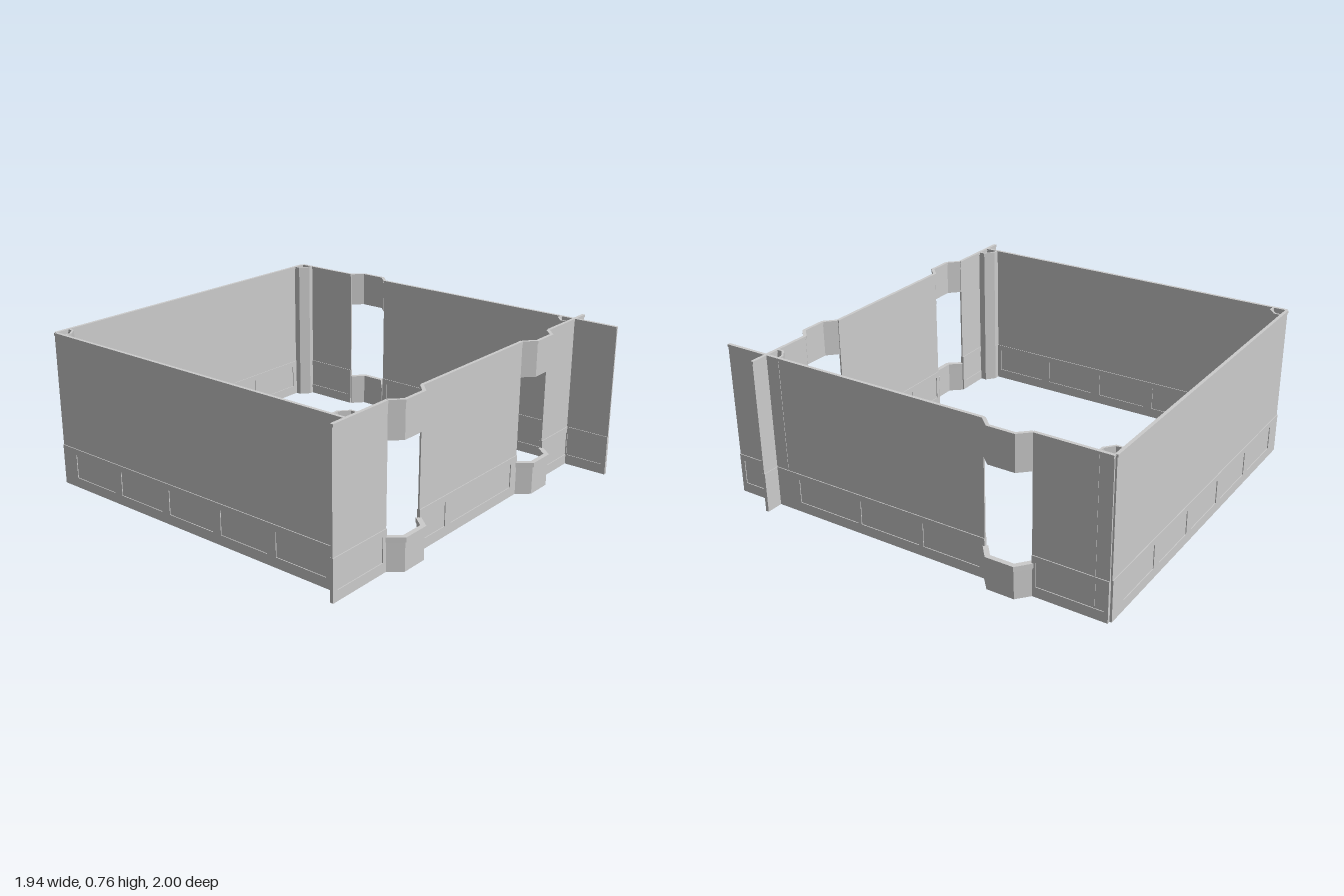
import * as THREE from 'three';

const H = 0.765, BASE = 0.2, THIN = 0.008, THICK = 0.016;
const material = new THREE.MeshStandardMaterial({ color: 0xcccccc, side: THREE.DoubleSide });

function add(parent, name, geometry) {
  const mesh = new THREE.Mesh(geometry, material);
  mesh.name = name;
  parent.add(mesh);
  return mesh;
}

function box(parent, name, x0, x1, y0, y1, depth) {
  add(parent, name, new THREE.BoxGeometry(x1 - x0, y1 - y0, depth))
    .position.set((x0 + x1) / 2, (y0 + y1) / 2, 0);
}

// Vertical strip following a plan path of [x, z] points, with mitred bends
function strip(parent, name, path, width, y0, y1) {
  const pts = path.map(([x, z]) => new THREE.Vector2(x, -z));
  const normal = (a, b) => {
    const d = b.clone().sub(a).normalize();
    return new THREE.Vector2(-d.y, d.x);
  };
  const offsets = pts.map((p, i) => {
    const n1 = normal(pts[Math.max(i - 1, 0)], pts[Math.max(i, 1)]);
    const last = pts.length - 1;
    const n2 = normal(pts[Math.min(i, last - 1)], pts[Math.min(i + 1, last)]);
    const m = n1.clone().add(n2).normalize();
    return m.multiplyScalar(width / 2 / m.dot(n1));
  });
  const one = pts.map((p, i) => p.clone().add(offsets[i]));
  const two = pts.map((p, i) => p.clone().sub(offsets[i])).reverse();
  const geometry = new THREE.ExtrudeGeometry(new THREE.Shape([...one, ...two]),
    { depth: y1 - y0, bevelEnabled: false });
  geometry.rotateX(-Math.PI / 2).translate(0, y0, 0);
  add(parent, name, geometry);
}

// Wainscot board with recessed panels on both faces
function wainscot(parent, x0, x1, panels) {
  const rect = (Type, a, b, c, d) => {
    const r = new Type();
    r.moveTo(a, c).lineTo(b, c).lineTo(b, d).lineTo(a, d).closePath();
    return r;
  };
  const shape = rect(THREE.Shape, x0, x1, 0, BASE);
  panels.filter(([a, b]) => a > x0 && b < x1)
    .forEach(([a, b]) => shape.holes.push(rect(THREE.Path, a, b, 0.05, 0.17)));
  const geometry = new THREE.ExtrudeGeometry(shape, { depth: THICK, bevelEnabled: false });
  add(parent, 'wainscot', geometry.translate(0, 0, -THICK / 2));
}

// Projecting bay with an open window between sill and lintel
function bay(parent, a, b) {
  const plan = (d) => [[a, 0], [a + 0.052, d], [b - 0.052, d], [b, 0]];
  strip(parent, 'bayLintel', plan(0.05), THIN, 0.59, H);
  strip(parent, 'bayTopTrim', plan(0.05), THICK, 0.752, H);
  strip(parent, 'baySill', plan(0.06), THICK, 0, 0.14);
  strip(parent, 'baySillCap', plan(0.063), 0.024, 0.14, 0.163);
}

// Wall along local x, facing local +z
function wall(parent, name, x0, x1, bays, panels) {
  const group = new THREE.Group();
  group.name = name;
  parent.add(group);
  const ends = [x0, ...bays.flat(), x1];
  for (let i = 0; i < ends.length; i += 2) {
    const a = ends[i], b = ends[i + 1];
    box(group, 'wallPanel', a, b, 0, H, THIN);
    wainscot(group, a, b, panels);
    box(group, 'topTrim', a, b, 0.752, H, THICK);
  }
  bays.forEach(([a, b]) => bay(group, a, b));
  return group;
}

export function createModel() {
  const model = new THREE.Group();
  model.name = 'roomWalls';

  const front = wall(model, 'frontWall', -0.972, 0.972, [[-0.625, -0.392], [0.392, 0.625]],
    [[-0.945, -0.65], [-0.37, -0.2], [-0.155, 0.34], [0.65, 0.885]]);
  front.position.z = 0.77;

  const left = wall(model, 'leftWall', -1, 0.99, [[0.397, 0.63]],
    [[-0.975, -0.78], [-0.63, -0.29], [-0.27, 0.05], [0.075, 0.37], [0.65, 0.97]]);
  left.rotation.y = Math.PI / 2;
  left.position.x = 0.88;

  // Plain walls with evenly spaced panels
  const even = (x0, x1, n) => Array.from({ length: n }, (_, i) => {
    const step = (x1 - x0) / n;
    return [x0 + i * step + 0.025, x0 + (i + 1) * step - 0.025];
  });
  const right = wall(model, 'rightWall', -0.99, 0.77, [], even(-0.92, 0.7, 5));
  right.rotation.y = -Math.PI / 2;
  right.position.x = -0.887;

  const back = wall(model, 'backWall', -0.872, 0.88, [], even(-0.8, 0.81, 5));
  back.rotation.y = Math.PI;
  back.position.z = -0.992;

  // Hollow chamfered posts in the inner corners
  for (const sx of [-1, 1]) {
    for (const [z, sz] of [[0.77, 1], [-0.992, -1]]) {
      const path = [[0.886, 0.07], [0.852, 0.07], [0.81, 0.035], [0.81, 0]]
        .map(([x, inset]) => [sx * x, z - sz * inset]);
      strip(model, 'cornerPost', path, 0.01, 0, H);
    }
  }
  return model;
}
